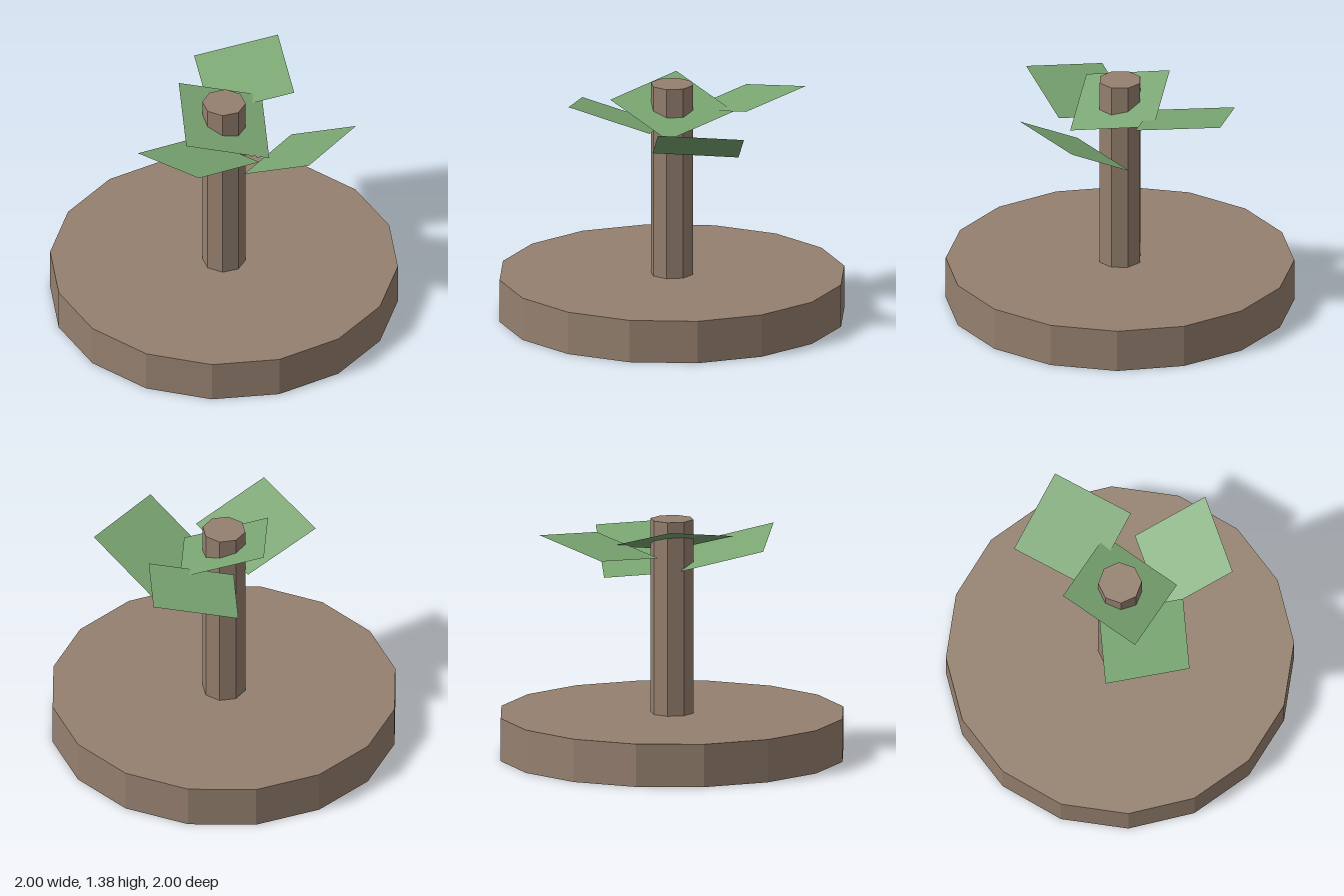
import * as THREE from 'three';

const bark = new THREE.MeshStandardMaterial({ color: 0x95806f, flatShading: true });
const foliage = new THREE.MeshStandardMaterial({ color: 0x7aa672, flatShading: true, side: THREE.DoubleSide });

// Upright faceted cylinder between two heights
function post(name, radius, bottom, top, sides) {
  const mesh = new THREE.Mesh(new THREE.CylinderGeometry(radius, radius, top - bottom, sides), bark);
  mesh.name = name;
  mesh.position.y = (bottom + top) / 2;
  return mesh;
}

// Square leaf card, tilted so its sides run along u and v
function leaf(name, centre, u, v) {
  const U = new THREE.Vector3(...u), V = new THREE.Vector3(...v);
  const N = new THREE.Vector3().crossVectors(U, V).normalize();
  const geometry = new THREE.PlaneGeometry(1, 1);
  geometry.applyMatrix4(new THREE.Matrix4().makeBasis(U, V, N));
  const mesh = new THREE.Mesh(geometry, foliage);
  mesh.name = name;
  mesh.position.set(...centre);
  return mesh;
}

export function createModel() {
  const group = new THREE.Group();
  group.name = 'tree';

  // Round ground disc and trunk
  group.add(post('groundDisc', 1, 0, 0.25, 16));
  group.add(post('trunk', 0.125, 0.25, 1.38, 8));

  // Three outer leaves and one crown leaf pierced by the trunk
  group.add(leaf('frontLeaf', [0.125, 1.205, 0.3], [0.485, 0.08, -0.04], [-0.015, -0.13, -0.475]));
  group.add(leaf('leftLeaf', [0.378, 1.13, -0.25], [0.41, 0.23, -0.135], [-0.135, -0.03, -0.475]));
  group.add(leaf('backLeaf', [-0.255, 1.25, -0.375], [0.425, -0.05, 0.245], [0.255, 0.09, -0.415]));
  group.add(leaf('crownLeaf', [0, 1.25, 0], [0.4, -0.08, 0.29], [0.26, -0.14, -0.405]));

  return group;
}
